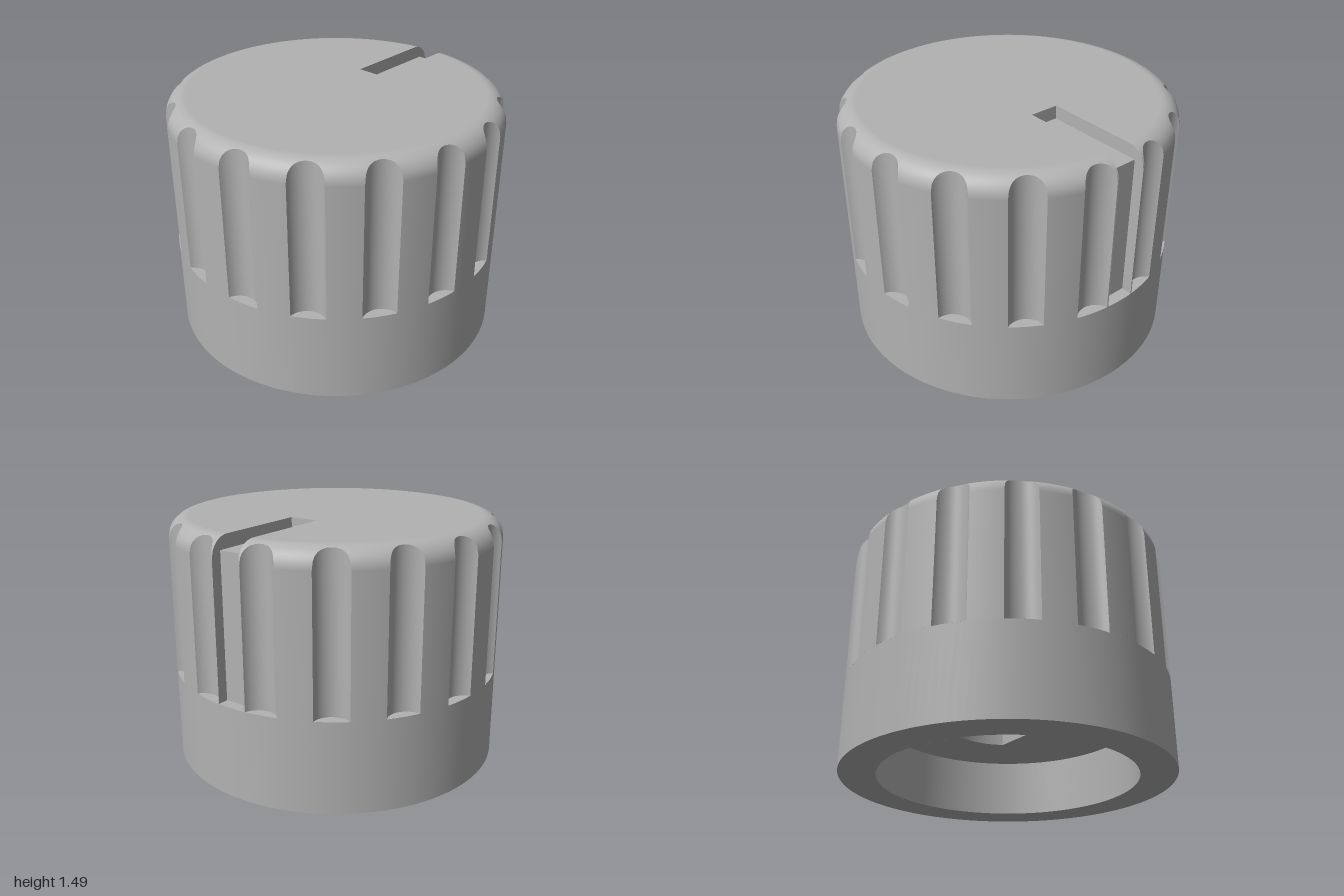
import * as THREE from 'three';

const TOP = 1.485, FLOOR = 0.55, FILLET = 0.12;     // heights and top edge rounding
const CAP = 1 - FILLET, YC = TOP - FILLET;          // flat top radius, fillet centre height
const FC = 1.045, FR = 0.11, FLUTES = 16;           // flute cutter: centre distance, radius, count
const SLOT_W = 0.09, SLOT_IN = 0.32, SLOT_Y = 1.405; // pointer slot half width, inner end, floor
const RECESS = 0.78, RECESS_Y = 0.355, BORE = 0.385, FLAT = 0.21, BORE_Y = 1.1;

const grey = new THREE.MeshStandardMaterial({ color: 0xb2b2b2, side: THREE.DoubleSide });
grey.name = 'grey plastic';

const polar = (r, a, y) => [r * Math.sin(a), y, r * Math.cos(a)];
// Height of the outer skin at radius r
const height = r => r <= CAP ? TOP : YC + Math.sqrt(Math.max(0, FILLET ** 2 - (r - CAP) ** 2));

// Surface through rows of points, rows running downwards, columns to the right
function grid(rows) {
  const n = rows[0].length, index = [];
  for (let i = 0; i < rows.length - 1; i++)
    for (let j = 0; j < n - 1; j++) {
      const a = i * n + j, b = a + n;
      index.push(a, b, b + 1, a, b + 1, a + 1);
    }
  const g = new THREE.BufferGeometry();
  g.setAttribute('position', new THREE.Float32BufferAttribute(rows.flat(2), 3));
  g.setIndex(index);
  g.computeVertexNormals();
  return g;
}

// Exact normals of the rounded outer skin
function skinNormals(g) {
  const p = g.attributes.position, nrm = g.attributes.normal;
  for (let i = 0; i < p.count; i++) {
    const x = p.getX(i), z = p.getZ(i), r = Math.hypot(x, z);
    const ny = Math.min(1, Math.max(0, (p.getY(i) - YC) / FILLET)), nr = Math.sqrt(1 - ny * ny);
    nrm.setXYZ(i, x / r * nr, ny, z / r * nr);
  }
  return g;
}

// Half cross-section of a flute: radius and angle away from the flute centre line
const STEPS = 14;
const phiMax = Math.acos((FC * FC + FR * FR - 1) / (2 * FC * FR));
const half = Array.from({ length: STEPS + 1 }, (_, i) => {
  const f = phiMax * i / STEPS, u = FC - FR * Math.cos(f), v = FR * Math.sin(f);
  return { r: Math.hypot(u, v), d: Math.atan2(v, u) };
});
const tIn = Math.asin((FC - FR - CAP) / FILLET);
const inner = Array.from({ length: 6 }, (_, i) => ({ r: CAP + FILLET * Math.sin(tIn * i / 6), d: 0 }));
const skin = [...inner, ...half].map(s => ({ ...s, y: height(s.r) }));
skin.push({ r: 1, d: half[STEPS].d, y: FLOOR });

export function createModel() {
  const model = new THREE.Group();
  const add = (name, g, parent = model) => {
    const m = new THREE.Mesh(g, grey);
    m.name = name;
    parent.add(m);
    return m;
  };

  // Lands between the flutes, with the rounded top edge
  const step = Math.PI * 2 / FLUTES;
  const slotAngle = s => Math.asin(SLOT_W / s.r);
  const land = (from, to, cols) => add('gripLand', skinNormals(grid(skin.map(s =>
    Array.from({ length: cols + 1 }, (_, j) => {
      const a = from(s), b = to(s);
      return polar(s.r, a + (b - a) * j / cols, s.y);
    })))));
  const section = [...half.slice(1).reverse().map(s => ({ r: s.r, d: -s.d })), ...half];
  for (let i = 0; i < FLUTES; i++) {
    const mid = i * step, a = mid - step / 2, b = mid + step / 2;
    if (i === FLUTES / 2) {
      land(s => a + s.d, s => mid - slotAngle(s), 4);
      land(s => mid + slotAngle(s), s => b - s.d, 4);
    } else land(s => a + s.d, s => b - s.d, 8);

    // Flute groove and its floor
    add('flute', grid([
      section.map(s => polar(s.r, b + s.d, height(s.r))),
      section.map(s => polar(s.r, b + s.d, FLOOR))]));
    add('fluteFloor', grid([
      section.map(s => polar(s.r, b + s.d, FLOOR)),
      section.map(s => polar(1, b + s.d, FLOOR))]));
  }

  // Flat top with the slot cut out
  const s0 = Math.asin(SLOT_W / CAP), top = new THREE.Shape();
  top.moveTo(-SLOT_W, SLOT_IN);
  top.lineTo(-SLOT_W, CAP * Math.cos(s0));
  top.absarc(0, 0, CAP, Math.PI / 2 + s0, Math.PI * 2.5 - s0, false);
  top.lineTo(SLOT_W, SLOT_IN);
  add('topFace', new THREE.ShapeGeometry(top, 128).rotateX(-Math.PI / 2).translate(0, TOP, 0));

  // Pointer slot running over the back edge and down the side
  const slot = new THREE.Group();
  slot.name = 'pointerSlot';
  model.add(slot);
  const depth = r => Math.sqrt(r * r - SLOT_W * SLOT_W);
  const back = depth(FC - FR), W = SLOT_W;
  const shallow = [Math.hypot(SLOT_IN, W), ...inner.map(s => s.r), FC - FR];
  const deep = half.map(s => s.r);
  for (const side of [-1, 1])
    for (const [list, low] of [[shallow, SLOT_Y], [deep, FLOOR]]) {
      const cols = side < 0 ? [...list].reverse() : list;
      add('slotWall', grid([
        cols.map(r => [side * W, height(r), -depth(r)]),
        cols.map(r => [side * W, low, -depth(r)])]), slot);
    }
  add('slotFloor', grid([
    [[-W, SLOT_Y, -back], [W, SLOT_Y, -back]],
    [[-W, SLOT_Y, -SLOT_IN], [W, SLOT_Y, -SLOT_IN]]]), slot);
  add('slotEnd', grid([
    [[W, TOP, -SLOT_IN], [-W, TOP, -SLOT_IN]],
    [[W, SLOT_Y, -SLOT_IN], [-W, SLOT_Y, -SLOT_IN]]]), slot);
  add('slotBack', grid([
    [[W, SLOT_Y, -back], [-W, SLOT_Y, -back]],
    [[W, FLOOR, -back], [-W, FLOOR, -back]]]), slot);
  const xs = Array.from({ length: 9 }, (_, i) => W - i * W / 4);
  add('slotFoot', grid([
    xs.map(x => [x, FLOOR, -back]),
    xs.map(x => [x, FLOOR, -Math.sqrt(1 - x * x)])]), slot);

  // Plain skirt, underside rim and recess
  add('skirt', new THREE.CylinderGeometry(1, 1, FLOOR, 128, 1, true).translate(0, FLOOR / 2, 0));
  add('bottomRim', new THREE.RingGeometry(RECESS, 1, 128).rotateX(Math.PI / 2));
  add('recessWall', new THREE.CylinderGeometry(RECESS, RECESS, RECESS_Y, 96, 1, true)
    .translate(0, RECESS_Y / 2, 0));

  // D-shaped shaft bore in the recess ceiling
  const a0 = Math.acos(FLAT / BORE);
  const dPath = P => new P().absarc(0, 0, BORE, a0, Math.PI * 2 - a0, false);
  const ceiling = new THREE.Shape().absarc(0, 0, RECESS, 0, Math.PI * 2, false);
  ceiling.holes.push(dPath(THREE.Path));
  add('recessCeiling', new THREE.ShapeGeometry(ceiling, 96).rotateX(Math.PI / 2).translate(0, RECESS_Y, 0));
  add('boreEnd', new THREE.ShapeGeometry(dPath(THREE.Shape), 96).rotateX(Math.PI / 2).translate(0, BORE_Y, 0));
  const arc = Array.from({ length: 65 }, (_, i) => a0 + (Math.PI * 2 - 2 * a0) * i / 64);
  const wall = angles => grid([BORE_Y, RECESS_Y].map(y =>
    angles.map(a => [BORE * Math.cos(a), y, BORE * Math.sin(a)])));
  add('boreWall', wall(arc));
  add('boreFlat', wall([-a0, a0]));

  return model;
}
